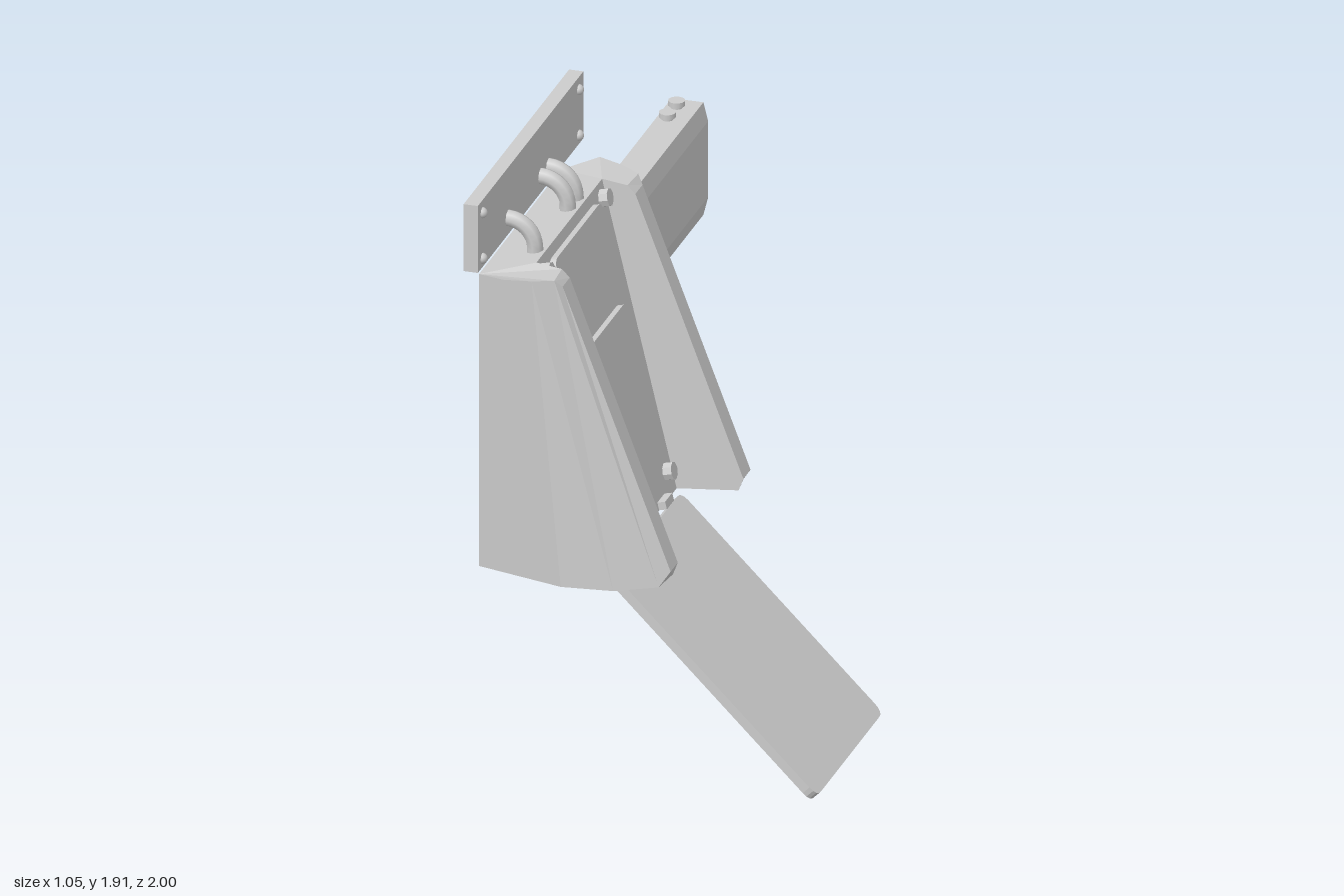
import * as THREE from 'three';

const grey = new THREE.MeshStandardMaterial({ color: 0xcccccc, side: THREE.DoubleSide });
const flat = new THREE.MeshStandardMaterial({ color: 0xcccccc, side: THREE.DoubleSide, flatShading: true });
const ZC = 0.48; // middle plane of the housing

function add(parent, name, geometry, x = 0, y = 0, z = 0, material = grey) {
  const mesh = new THREE.Mesh(geometry, material);
  mesh.name = name;
  mesh.position.set(x, y, z);
  parent.add(mesh);
  return mesh;
}

// Fan-triangulates convex polygons into one faceted geometry
function polygons(list) {
  const pos = [];
  for (const p of list) {
    for (let i = 1; i < p.length - 1; i++) pos.push(...p[0], ...p[i], ...p[i + 1]);
  }
  const g = new THREE.BufferGeometry();
  g.setAttribute('position', new THREE.Float32BufferAttribute(pos, 3));
  g.computeVertexNormals();
  return g;
}

// Rounded sheet in the z-y plane, thickness along +x
function sheet(w, h, t, r) {
  const a = w / 2, b = h / 2, s = new THREE.Shape();
  s.moveTo(-a + r, -b);
  s.lineTo(a - r, -b); s.quadraticCurveTo(a, -b, a, -b + r);
  s.lineTo(a, b - r); s.quadraticCurveTo(a, b, a - r, b);
  s.lineTo(-a + r, b); s.quadraticCurveTo(-a, b, -a, b - r);
  s.lineTo(-a, -b + r); s.quadraticCurveTo(-a, -b, -a + r, -b);
  return new THREE.ExtrudeGeometry(s, { depth: t, bevelEnabled: false, curveSegments: 4 }).rotateY(Math.PI / 2);
}

// One half of the open-backed housing, from matching top and bottom outlines
function housingHalf() {
  const T = [[-0.52, 1.63, 0.08], [-0.42, 1.655, 0.01], [-0.34, 1.65, 0.035], [-0.28, 1.645, 0.07],
    [-0.26, 1.62, 0.09], [-0.26, 1.62, 0.16], [-0.285, 1.645, 0.16], [-0.365, 1.655, 0.16]];
  const B = [[-0.52, 0.67, 0.08], [-0.24, 0.67, 0.01], [-0.08, 0.672, 0.025], [0.05, 0.685, 0.065],
    [0.08, 0.73, 0.09], [0.08, 0.73, 0.16], [0.065, 0.69, 0.16], [-0.13, 0.67, 0.16]];
  const faces = [];
  const mid = (p) => [p[0], p[1], ZC];
  // outer side and wing front
  for (let i = 0; i < 5; i++) faces.push([T[i], T[i + 1], B[i + 1], B[i]]);
  // wing inner wall and recessed panel
  faces.push([T[7], B[7], B[6], B[5], T[5], T[6]]);
  faces.push([T[7], mid(T[7]), mid(B[7]), B[7]]);
  // top and bottom caps
  for (const [R, flip] of [[T, false], [B, true]]) {
    const cap = [[R[7], R[6], R[3], R[2], R[1], R[0]], [R[6], R[5], R[4], R[3]],
      [R[7], R[0], mid(R[0]), mid(R[7])]];
    for (const p of cap) faces.push(flip ? p.slice().reverse() : p);
  }
  return faces;
}

// Open-backed arm channel with a closed far end
function armGeometry() {
  const P = [[-0.52, 1.03], [-0.42, 1.03], [-0.405, 1.09], [-0.405, 1.34], [-0.42, 1.4], [-0.52, 1.4]];
  const near = ([x, y]) => [x, y, x < -0.5 ? 0.08 : 0.04];
  const far = ([x, y]) => [x, y, -1];
  const faces = [P.map(far).reverse()];
  for (let i = 0; i < P.length - 1; i++) faces.push([near(P[i]), far(P[i]), far(P[i + 1]), near(P[i + 1])]);
  return polygons(faces);
}

export function createModel() {
  const model = new THREE.Group();
  model.name = 'wallConsole';

  // Housing, mirrored about its middle plane
  const half = housingHalf();
  const mirrored = half.map((p) => p.map(([x, y, z]) => [x, y, 2 * ZC - z]).reverse());
  add(model, 'housing', polygons([...half, ...mirrored]), 0, 0, 0, flat);

  // Fittings on the sloping panel: local x points out of the panel
  const tilt = Math.atan(0.235 / 0.985);
  const panel = new THREE.Group();
  panel.name = 'panelFittings';
  panel.position.set(-0.2475, 1.1625, ZC);
  panel.rotation.z = tilt;
  model.add(panel);
  const up = (y) => (y - 1.1625) / Math.cos(tilt);
  for (const [name, y0, y1] of [['upperCover', 1.38, 1.62], ['lowerCover', 0.815, 1.3]]) {
    add(panel, name, sheet(0.455, up(y1) - up(y0), 0.023, 0.03), -0.003, (up(y0) + up(y1)) / 2, 0);
  }
  for (const s of [-1, 1]) {
    for (const [y, z] of [[1.61, 0.282], [0.745, 0.268]]) {
      add(panel, 'panelBolt', new THREE.CylinderGeometry(0.028, 0.028, 0.03, 8).rotateZ(-Math.PI / 2),
        0.013, up(y), s * z, flat);
    }
    add(panel, 'hinge', new THREE.BoxGeometry(0.03, 0.025, 0.07), 0.01, up(0.683), s * 0.185);
  }

  // Hanging flap
  const flap = add(model, 'flap', sheet(0.64, 0.9, 0.03, 0.035), 0.18, 0.32, ZC);
  flap.rotation.z = Math.PI / 4;

  // Side arm and its two bolts
  add(model, 'sideArm', armGeometry(), 0, 0, 0, flat);
  for (const z of [-0.94, -0.85]) {
    add(model, 'armBoltNeck', new THREE.CylinderGeometry(0.018, 0.018, 0.02, 12), -0.485, 1.405, z);
    add(model, 'armBoltHead', new THREE.CylinderGeometry(0.026, 0.026, 0.016, 12), -0.485, 1.416, z);
  }

  // Wall plate, open at the back
  const plate = new THREE.BoxGeometry(0.045, 0.22, 1.03);
  plate.setIndex(Array.from(plate.index.array).filter((v, i) => i < 6 || i >= 12));
  plate.clearGroups();
  add(model, 'wallPlate', plate, -0.5075, 1.8, 0.485);
  for (const z of [0.016, 0.957]) {
    for (const y of [1.72, 1.87]) {
      add(model, 'plateRivet', new THREE.SphereGeometry(0.017, 10, 6), -0.485, y, z);
    }
  }

  // Cable elbows from the plate into the housing top
  for (const z of [0.31, 0.385, 0.705]) {
    add(model, 'cableElbow', new THREE.TorusGeometry(0.085, 0.026, 8, 8, Math.PI / 2), -0.485, 1.66, z);
    add(model, 'cableEnd', new THREE.CylinderGeometry(0.026, 0.026, 0.03, 8), -0.4, 1.645, z);
    add(model, 'cableSocket', new THREE.CylinderGeometry(0.026, 0.026, 0.01, 8).rotateZ(Math.PI / 2), -0.488, 1.745, z);
  }
  return model;
}
